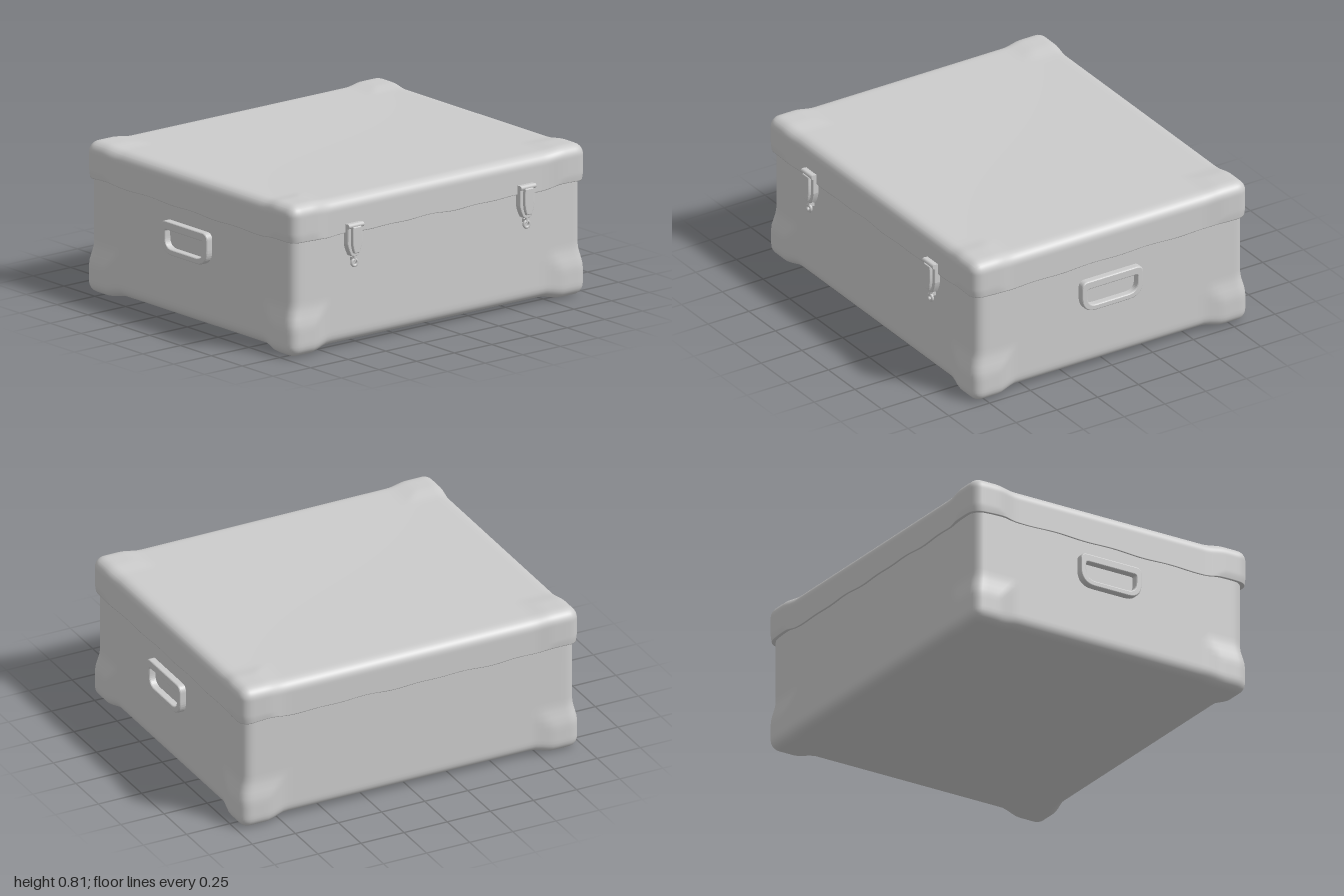
import * as THREE from 'three';
import { mergeVertices } from 'three/addons/utils/BufferGeometryUtils.js';

const material = new THREE.MeshStandardMaterial({ color: 0xcccccc, roughness: 0.8 });
const { clamp, smoothstep } = THREE.MathUtils;

function add(parent, name, geometry, x = 0, y = 0, z = 0) {
  const mesh = new THREE.Mesh(geometry, material);
  mesh.name = name;
  mesh.position.set(x, y, z);
  parent.add(mesh);
  return mesh;
}

// Soft half of the case: rounded on every edge except the open end,
// with swollen protectors at the four corners of the closed end.
// sign = +1 closes at the top (lid), -1 closes at the bottom (body).
function caseHalf({ min, max, radius, sign, swell, reach, hem }) {
  const geometry = new THREE.BoxGeometry(2, 2, 2, 64, 28, 60);
  const inMin = min.clone().addScalar(radius);
  const inMax = max.clone().subScalar(radius);
  if (sign > 0) inMin.y = min.y; else inMax.y = max.y;
  const pos = geometry.attributes.position;
  const size = max.clone().sub(min);
  const closedY = sign > 0 ? max.y : min.y;
  const p = new THREE.Vector3(), inner = new THREE.Vector3(), d = new THREE.Vector3();
  for (let i = 0; i < pos.count; i++) {
    p.fromBufferAttribute(pos, i);
    // crowd the grid towards the edges
    for (const a of ['x', 'y', 'z']) {
      const t = 0.5 * p[a] + 0.5 * Math.sin(p[a] * Math.PI / 2);
      p[a] = min[a] + size[a] * (t + 1) / 2;
    }
    const across = (p.x - min.x) / size.x * 2 - 1;
    const along = (p.z - min.z) / size.z * 2 - 1;
    const edge = Math.min(max.x - Math.abs(p.x), size.x);
    const edgeZ = along > 0 ? max.z - p.z : p.z - min.z;
    const edgeY = Math.abs(closedY - p.y);
    const w = 1 - smoothstep(Math.max(edge, edgeZ, edgeY), reach * 0.6, reach);
    const open = Math.max(0, 1 - Math.abs(p.y - (sign > 0 ? min.y : max.y)) / 0.04);
    // round the edges
    inner.copy(p).clamp(inMin, inMax);
    d.subVectors(p, inner);
    const len = d.length();
    if (len > 0) {
      d.multiplyScalar(Math.max(Math.abs(d.x), Math.abs(d.y), Math.abs(d.z)) / len);
      p.addVectors(inner, d);
    }
    // corner protectors
    p.x += Math.sign(across) * swell * w;
    p.z += Math.sign(along) * swell * w;
    p.y += sign * swell * w;
    // slight sag of the closed panel and a worn hem
    if (edgeY < 1e-4) p.y -= sign * 0.006 * (1 - across * across) * (1 - along * along);
    p.y += open * hem * Math.sin(p.x * 17 + p.z * 11) * Math.sin(p.x * 5 - p.z * 7 + 1);
    pos.setXYZ(i, p.x, p.y, p.z);
  }
  geometry.deleteAttribute('uv');
  geometry.deleteAttribute('normal');
  const merged = mergeVertices(geometry, 1e-5);
  merged.computeVertexNormals();
  return merged;
}

// D-shaped outline: straight top, strongly rounded lower corners
function handleOutline(path, w, top, bottom, rTop, rBottom) {
  path.moveTo(-w + rBottom, bottom);
  path.lineTo(w - rBottom, bottom);
  path.quadraticCurveTo(w, bottom, w, bottom + rBottom);
  path.lineTo(w, top - rTop);
  path.quadraticCurveTo(w, top, w - rTop, top);
  path.lineTo(-w + rTop, top);
  path.quadraticCurveTo(-w, top, -w, top - rTop);
  path.lineTo(-w, bottom + rBottom);
  path.quadraticCurveTo(-w, bottom, -w + rBottom, bottom);
  return path;
}

function makeHandle(side) {
  const handle = new THREE.Group();
  handle.name = side > 0 ? 'leftHandle' : 'rightHandle';
  const shape = handleOutline(new THREE.Shape(), 0.18, 0.082, -0.08, 0.03, 0.08);
  shape.holes.push(handleOutline(new THREE.Path(), 0.16, 0.05, -0.062, 0.02, 0.065));
  add(handle, 'handleFrame', new THREE.ExtrudeGeometry(shape, {
    depth: 0.032, bevelThickness: 0.009, bevelSize: 0.007, bevelSegments: 4, curveSegments: 10,
  }));
  handle.rotation.y = side * Math.PI / 2;
  handle.position.set(side * 0.959, 0.443, side > 0 ? -0.007 : -0.03);
  return handle;
}

function makeLatch(x) {
  const latch = new THREE.Group();
  latch.name = x > 0 ? 'leftLatch' : 'rightLatch';
  const extrude = (shape, depth) => new THREE.ExtrudeGeometry(shape, {
    depth, bevelThickness: 0.006, bevelSize: 0.006, bevelSegments: 3, curveSegments: 8,
  });
  // hasp plate, tapering to a tongue
  const hasp = new THREE.Shape();
  hasp.moveTo(-0.043, 0.66);
  hasp.lineTo(0.043, 0.66);
  hasp.lineTo(0.044, 0.56);
  hasp.quadraticCurveTo(0.038, 0.53, 0.022, 0.5);
  hasp.quadraticCurveTo(0, 0.485, -0.022, 0.5);
  hasp.quadraticCurveTo(-0.038, 0.53, -0.044, 0.56);
  add(latch, 'haspPlate', extrude(hasp, 0.035), 0, 0, 0.8);
  // raised lever
  const lever = new THREE.Shape();
  lever.moveTo(-0.022, 0.645);
  lever.lineTo(0.022, 0.645);
  lever.quadraticCurveTo(0.03, 0.55, 0.012, 0.515);
  lever.lineTo(-0.012, 0.515);
  lever.quadraticCurveTo(-0.03, 0.55, -0.022, 0.645);
  add(latch, 'lever', extrude(lever, 0.015), 0, 0, 0.838);
  const pin = add(latch, 'hingePin', new THREE.CylinderGeometry(0.013, 0.013, 0.1, 14), 0, 0.655, 0.84);
  pin.rotation.z = Math.PI / 2;
  // padlock ring hanging below
  add(latch, 'stem', new THREE.CylinderGeometry(0.009, 0.009, 0.04, 10), 0, 0.482, 0.832);
  add(latch, 'ring', new THREE.TorusGeometry(0.017, 0.008, 8, 20), 0, 0.455, 0.833);
  add(latch, 'staple', new THREE.BoxGeometry(0.02, 0.02, 0.035), 0, 0.473, 0.815);
  latch.position.x = x;
  return latch;
}

export function createModel() {
  const trunk = new THREE.Group();
  trunk.name = 'trunk';

  add(trunk, 'body', caseHalf({
    min: new THREE.Vector3(-0.963, 0.024, -0.838), max: new THREE.Vector3(0.963, 0.64, 0.808),
    radius: 0.06, sign: -1, swell: 0.019, reach: 0.25, hem: 0,
  }));
  add(trunk, 'lid', caseHalf({
    min: new THREE.Vector3(-0.969, 0.613, -0.847), max: new THREE.Vector3(0.969, 0.804, 0.82),
    radius: 0.06, sign: 1, swell: 0.011, reach: 0.25, hem: 0.006,
  }));

  for (const side of [-1, 1]) {
    trunk.add(makeHandle(side));
    trunk.add(makeLatch(side * 0.572));
  }
  return trunk;
}
